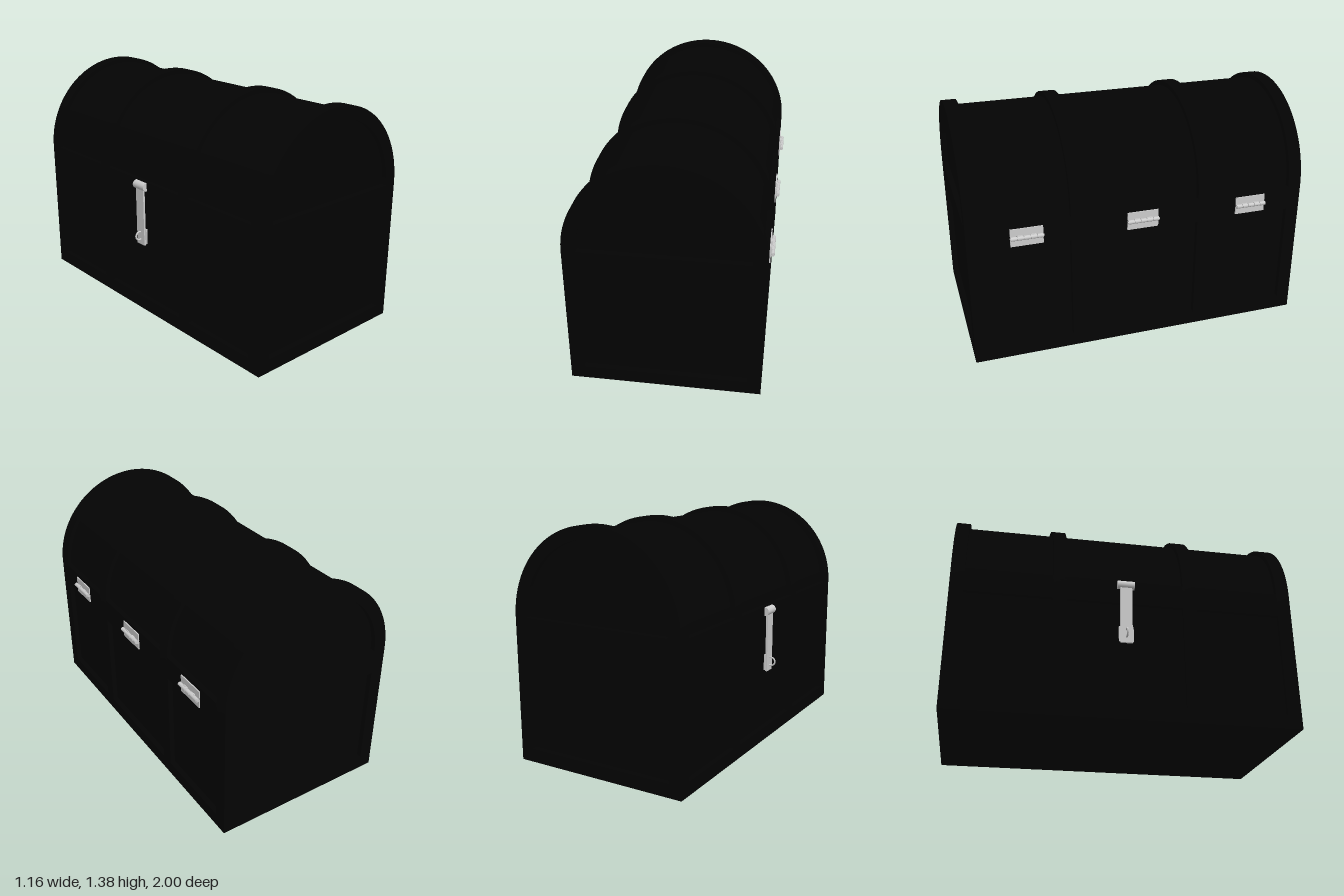
import * as THREE from 'three';
import { toCreasedNormals } from 'three/addons/utils/BufferGeometryUtils.js';

const CX = 0.0125;   // centre of the chest box
const HALF = 0.5375; // half width over the ribs
const RIB = 0.08;    // rib and rail width
const INSET = 0.03;  // depth of the recessed panels
const SEAM = 0.77;   // joint between body and lid
const SPRING = 0.845; // height where the lid starts to curve

const black = new THREE.MeshStandardMaterial({ color: 0x030303 });
const metal = new THREE.MeshStandardMaterial({ color: 0xcccccc });

function add(parent, name, geometry, material, x = 0, y = 0, z = 0) {
  const mesh = new THREE.Mesh(geometry, material);
  mesh.name = name;
  mesh.position.set(x, y, z);
  parent.add(mesh);
  return mesh;
}

const box = (w, h, d) => new THREE.BoxGeometry(w, h, d);

// Outline that is straight sided, and domed when an arch is asked for
function outline(half, y0, y1, arch, Type = THREE.Shape) {
  const s = new Type();
  s.moveTo(-half, y0);
  s.lineTo(half, y0);
  s.lineTo(half, y1);
  if (arch) s.absarc(0, y1, half, 0, Math.PI, false);
  else s.lineTo(-half, y1);
  s.closePath();
  return s;
}

// Extrusion along z, centred on its depth
function slab(shape, depth) {
  const g = new THREE.ExtrudeGeometry(shape, { depth, bevelEnabled: false, curveSegments: 40 });
  g.translate(0, 0, -depth / 2);
  return toCreasedNormals(g, 0.5);
}

// Half of the chest: recessed core, four ribs, framed ends and long rails
function section(name, y0, y1, arch, hole, rail) {
  const group = new THREE.Group();
  group.name = name;
  add(group, 'panels', slab(outline(HALF - INSET, y0, y1, arch), 2 - 2 * INSET), black);
  for (const side of [-1, 1]) {
    const frame = outline(HALF, y0, y1, arch);
    frame.holes.push(hole);
    add(group, 'endFrame', slab(frame, RIB), black, 0, 0, side * (1 - RIB / 2));
    add(group, 'middleRib', slab(outline(HALF, y0, y1, arch), RIB), black, 0, 0, side * 0.38);
  }
  for (const [a, b] of rail) {
    add(group, 'rail', box(2 * HALF, b - a, 2 - 2 * RIB), black, 0, (a + b) / 2, 0);
  }
  group.position.x = CX;
  return group;
}

// Hinge with two leaves and a barrel of interlocking knuckles
function hinge(z) {
  const g = new THREE.Group();
  g.name = 'hinge';
  for (const s of [-1, 1]) {
    add(g, 'hingeLeaf', box(0.008, 0.045, 0.185), metal, 0.003, s * 0.03, 0);
  }
  const n = 5, w = 0.185 / n;
  for (let i = 0; i < n; i++) {
    const k = (i - (n - 1) / 2) * w;
    const knuckle = new THREE.CylinderGeometry(0.012, 0.012, w - 0.003, 16).rotateX(Math.PI / 2);
    add(g, 'knuckle', knuckle, metal, 0.016, 0, k);
    add(g, 'knuckleWrap', box(0.014, 0.013, w - 0.003), metal, 0.007, i % 2 ? 0.006 : -0.006, k);
  }
  add(g, 'hingePin', new THREE.CylinderGeometry(0.007, 0.007, 0.19, 12).rotateX(Math.PI / 2), metal, 0.016, 0, 0);
  g.position.set(CX + HALF, SEAM, z);
  return g;
}

// Hasp strap hanging from a barrel, over a staple plate
function hasp() {
  const g = new THREE.Group();
  g.name = 'hasp';
  const x = CX - HALF;
  add(g, 'haspBarrel', new THREE.CylinderGeometry(0.026, 0.026, 0.1, 24).rotateX(Math.PI / 2), metal, x - 0.002, 0.815, 0);
  add(g, 'haspStrap', box(0.012, 0.365, 0.07), metal, x - 0.011, 0.628, 0);
  add(g, 'staplePlate', box(0.008, 0.095, 0.085), metal, x - 0.003, 0.502, 0);
  add(g, 'staple', new THREE.TorusGeometry(0.025, 0.005, 10, 28), metal, x - 0.027, 0.502, 0);
  return g;
}

export function createModel() {
  const model = new THREE.Group();
  model.name = 'chest';
  const inner = HALF - RIB + 0.002;
  model.add(section('body', 0, SEAM, false,
    outline(inner, RIB, 0.7, false, THREE.Path), [[0, RIB], [0.7, SEAM]]));
  model.add(section('lid', SEAM, SPRING, true,
    outline(inner, SPRING + 0.005, SPRING + 0.006, true, THREE.Path), [[SEAM, SPRING]]));
  for (const z of [-0.67, 0, 0.67]) model.add(hinge(z));
  model.add(hasp());
  return model;
}
